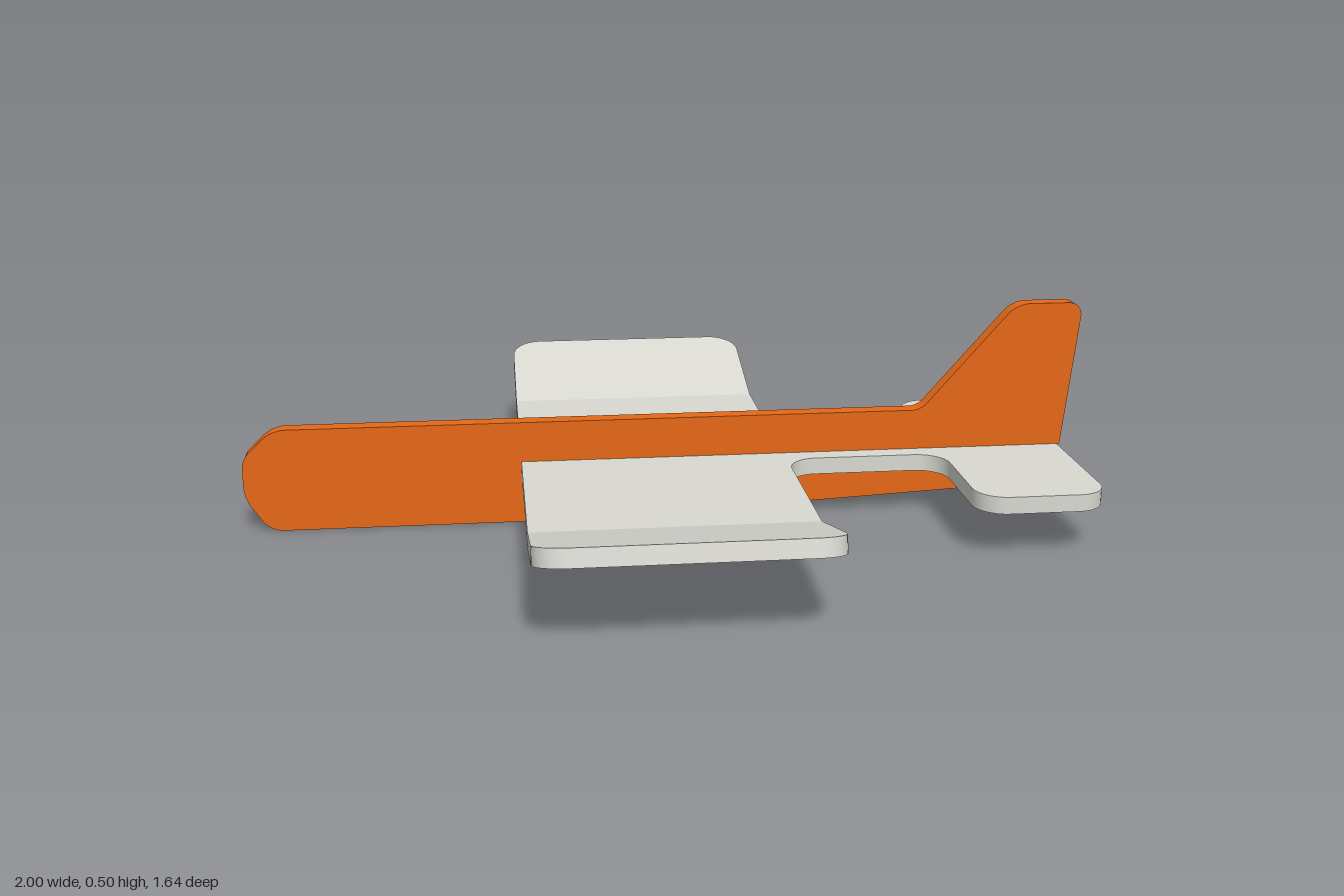
import * as THREE from 'three';
import { toCreasedNormals } from 'three/addons/utils/BufferGeometryUtils.js';

const T = 0.04;          // sheet thickness
const PLATE_TOP = 0.151; // top of the wing sheet
const DIHEDRAL = THREE.MathUtils.degToRad(15);

// Closed polygon from [x, y, r] points; r is the length trimmed from each side of a corner
function roundedShape(points) {
  const shape = new THREE.Shape();
  const n = points.length;
  points.forEach(([x, y, r = 0], i) => {
    const p = new THREE.Vector2(x, y);
    const toward = (q, d) =>
      new THREE.Vector2(q[0], q[1]).sub(p).setLength(d).add(p);
    const prev = points[(i + n - 1) % n], next = points[(i + 1) % n];
    const a = toward(prev, r), b = toward(next, r);
    if (i === 0) shape.moveTo(a.x, a.y);
    else shape.lineTo(a.x, a.y);
    if (r > 0) {
      const c = toward(prev, r * 0.45), d = toward(next, r * 0.45);
      shape.bezierCurveTo(c.x, c.y, d.x, d.y, b.x, b.y);
    }
  });
  shape.closePath();
  return shape;
}

function sheet(points) {
  const geo = new THREE.ExtrudeGeometry(roundedShape(points), {
    depth: T, bevelEnabled: false, curveSegments: 8,
  });
  return toCreasedNormals(geo, 0.5);
}

// Sheet lying flat: outline is (x, z), top surface at y = 0
const flatSheet = (points) => sheet(points).rotateX(Math.PI / 2);

export function createModel() {
  const model = new THREE.Group();
  model.name = 'toyGlider';
  const orange = new THREE.MeshStandardMaterial({ color: 0xe66818 });
  orange.name = 'orange';
  const grey = new THREE.MeshStandardMaterial({ color: 0xd9d9d2 });
  grey.name = 'pale grey';

  // Upright fuselage and fin, with a slot open at the back for the wing sheet
  const fuselageGeo = sheet([
    [-1, 0.085, 0.025], [-0.945, 0, 0.03], [-0.2, 0],
    [0.955, 0.056, 0.035], [0.962, PLATE_TOP - T],
    [-0.35, PLATE_TOP - T], [-0.35, PLATE_TOP], [0.967, PLATE_TOP],
    [1.003, 0.505, 0.035], [0.84, 0.505, 0.03], [0.615, 0.248, 0.02],
    [-0.928, 0.248, 0.03], [-1, 0.178, 0.022],
  ]);
  fuselageGeo.translate(0, 0, -T / 2);
  const fuselage = new THREE.Mesh(fuselageGeo, orange);
  fuselage.name = 'fuselageAndFin';
  model.add(fuselage);

  // Flat sheet: wing centre, boom and tailplane in one piece
  const hinge = 0.496;
  const half = [
    [-0.35, hinge], [0.28, hinge], [0.28, 0.068, 0.07],
    [0.66, 0.068, 0.07], [0.66, 0.392, 0.07], [0.96, 0.392, 0.07],
  ];
  const mirrored = half.map(([x, z, r]) => [x, -z, r]).reverse();
  const plate = new THREE.Mesh(flatSheet([...half, ...mirrored]), grey);
  plate.name = 'wingAndTailplane';
  plate.position.y = PLATE_TOP;
  model.add(plate);

  // Upturned wing tips
  const w = 0.315, len = 0.326;
  const tipGeo = flatSheet([
    [-w, 0], [w, 0], [w, len, 0.075], [-w, len, 0.075],
  ]);
  tipGeo.rotateX(-DIHEDRAL).translate(0, 0, hinge);
  for (const [name, turn] of [['frontWingTip', 0], ['backWingTip', Math.PI]]) {
    const tip = new THREE.Mesh(tipGeo, grey);
    tip.name = name;
    tip.rotation.y = turn;
    tip.position.set(-0.035, PLATE_TOP, 0);
    model.add(tip);
  }
  return model;
}
